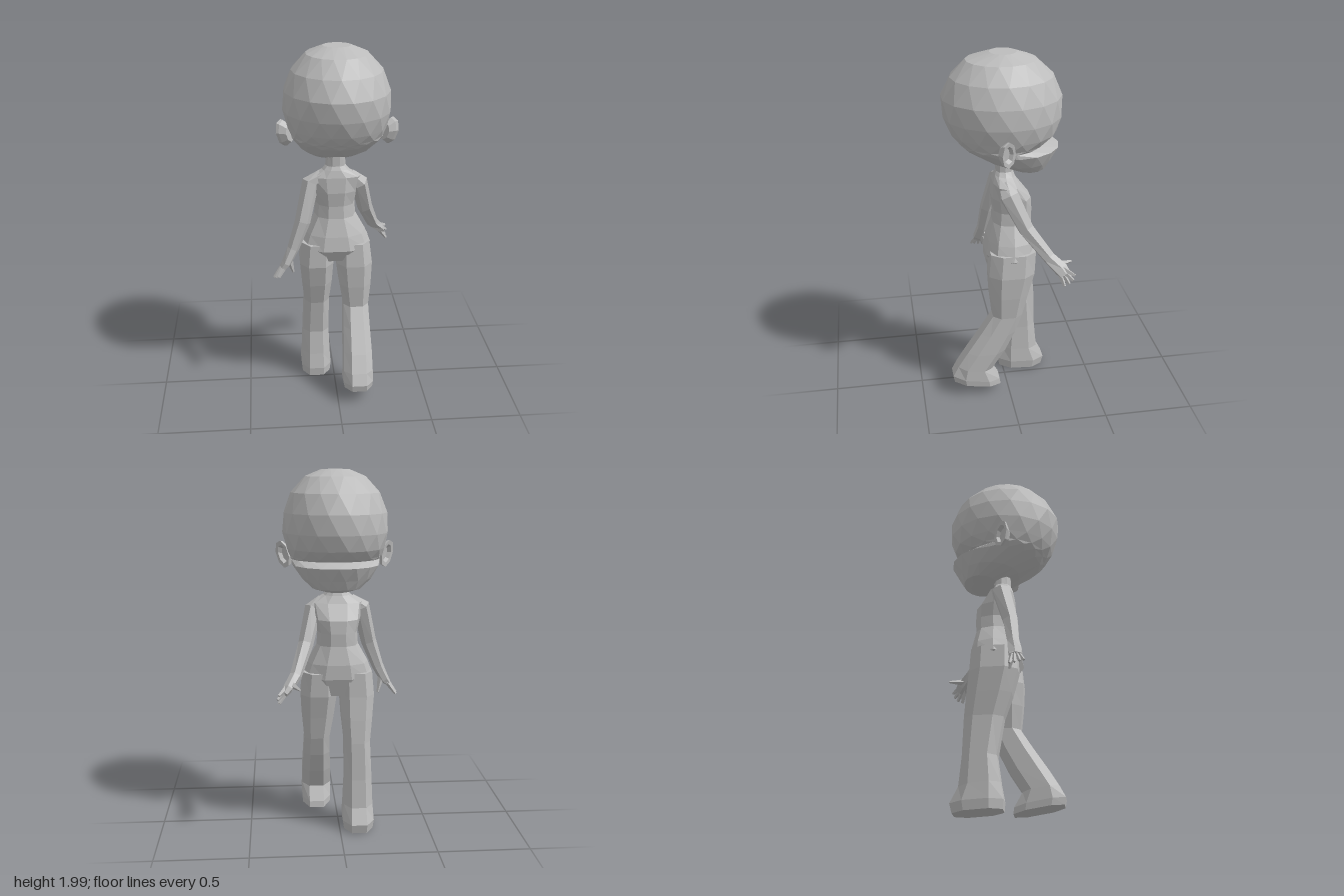
import * as THREE from 'three';

const clay = new THREE.MeshStandardMaterial({ color: 0xbcbcbc });
clay.name = 'clay grey';
const V = (x, y, z) => new THREE.Vector3(x, y, z);

// Closed, faceted skin over a list of equal-length point rings, wound outwards.
function loft(name, rings) {
  const tris = [];
  const n = rings[0].length;
  for (let r = 0; r < rings.length - 1; r++) {
    const a = rings[r], b = rings[r + 1];
    for (let i = 0; i < n; i++) {
      const j = (i + 1) % n;
      tris.push([a[i], a[j], b[i]], [a[j], b[j], b[i]]);
    }
  }
  const middle = ring => ring.reduce((s, p) => s.add(p), V(0, 0, 0)).divideScalar(n);
  const first = rings[0], last = rings[rings.length - 1];
  const c0 = middle(first), c1 = middle(last);
  for (let i = 0; i < n; i++) {
    const j = (i + 1) % n;
    tris.push([first[j], first[i], c0], [last[i], last[j], c1]);
  }
  let volume = 0;
  for (const [a, b, c] of tris) {
    volume += a.clone().sub(c0).dot(b.clone().sub(c0).cross(c.clone().sub(c0)));
  }
  const points = [];
  for (const [a, b, c] of tris) points.push(...(volume > 0 ? [a, b, c] : [a, c, b]));
  const geometry = new THREE.BufferGeometry().setFromPoints(points);
  geometry.computeVertexNormals();
  const mesh = new THREE.Mesh(geometry, clay);
  mesh.name = name;
  return mesh;
}

// Cross-section of the body: y at -z end, y at +z end, centre x, half width, z range.
function section([yf, yb, cx, hw, zf, zb], sides, power = 1, turn = 0) {
  const ring = [];
  const bulge = v => Math.sign(v) * Math.abs(v) ** power;
  for (let i = 0; i < sides; i++) {
    const t = ((i + turn) / sides) * Math.PI * 2;
    const s = bulge(Math.sin(t));
    const k = (s + 1) / 2;
    ring.push(V(cx + hw * bulge(Math.cos(t)), yf + (yb - yf) * k, zf + (zb - zf) * k));
  }
  return ring;
}

// Tapered limb along a path of [x, y, z, radius a, radius b].
function limb(name, path, sides) {
  const pts = path.map(p => V(p[0], p[1], p[2]));
  const rings = path.map((p, k) => {
    const d = pts[Math.min(k + 1, pts.length - 1)].clone().sub(pts[Math.max(k - 1, 0)]).normalize();
    const u = V(0, 0, 1).cross(d).normalize();
    const v = d.clone().cross(u);
    return Array.from({ length: sides }, (_, i) => {
      const t = (i / sides) * Math.PI * 2;
      return pts[k].clone().addScaledVector(u, p[3] * Math.cos(t)).addScaledVector(v, p[4] * Math.sin(t));
    });
  });
  return loft(name, rings);
}

// Arm with thumb and fingers.
function arm(name, path, palm, thumb, tips) {
  const g = new THREE.Group();
  g.name = name;
  g.add(limb('armAndPalm', path, 6));
  g.add(limb('thumb', [[...palm, 0.022, 0.022], [...thumb, 0.006, 0.006]], 4));
  const wrist = V(...palm);
  for (const tip of tips) {
    const base = wrist.clone().lerp(V(...tip), 0.3);
    g.add(limb('finger', [[base.x, base.y, base.z, 0.017, 0.017], [...tip, 0.008, 0.008]], 4));
  }
  return g;
}

// Cupped ear on side s, opening outwards and towards the face.
function ear(name, s) {
  const ring = (depth, size) => Array.from({ length: 8 }, (_, i) => {
    const t = (i / 8) * Math.PI * 2;
    const c = Math.cos(t) * size, h = Math.sin(t) * size;
    return V(
      0.012 + s * (0.286 + 0.036 * c + 0.01 * h + 0.8 * depth),
      1.537 + 0.074 * h + 0.008 * c,
      0.026 + 0.04 * c - 0.6 * depth
    );
  });
  return loft(name, [ring(-0.045, 0.6), ring(-0.012, 0.95), ring(0.004, 1), ring(0.002, 0.68), ring(-0.018, 0.5)]);
}

export function createModel() {
  const model = new THREE.Group();
  model.name = 'figure';

  // Round head with a ledge above the jaw on the -z side: y, z range, half width
  const head = [
    [1.992, -0.06, 0.08, 0.075], [1.955, -0.165, 0.205, 0.165], [1.87, -0.255, 0.287, 0.242],
    [1.765, -0.3, 0.336, 0.282], [1.66, -0.302, 0.326, 0.288], [1.575, -0.275, 0.293, 0.268],
    [1.53, -0.226, 0.26, 0.25], [1.515, -0.2, 0.243, 0.245], [1.49, -0.29, 0.22, 0.238],
    [1.42, -0.25, 0.1, 0.188], [1.37, -0.222, -0.02, 0.13], [1.352, -0.18, -0.09, 0.06],
  ];
  model.add(loft('head', head.map(([y, zf, zb, hw], k) =>
    section([y, y, 0.012, hw, zf, zb], 16, 1, k / 2))));
  model.add(ear('leftEar', 1), ear('rightEar', -1));

  // Neck, chest, waist and hips
  const torso = [
    [1.43, 1.43, 0.008, 0.05, -0.05, 0.05], [1.345, 1.345, 0.005, 0.055, -0.045, 0.05],
    [1.315, 1.325, 0.005, 0.075, -0.055, 0.06], [1.275, 1.285, 0.005, 0.145, -0.075, 0.072],
    [1.19, 1.2, 0.005, 0.128, -0.142, 0.08], [1.12, 1.12, 0.005, 0.11, -0.148, 0.07],
    [1.05, 1.05, 0.005, 0.115, -0.145, 0.075], [0.95, 0.95, 0.005, 0.17, -0.166, 0.105],
    [0.87, 0.87, 0.006, 0.2, -0.166, 0.12], [0.77, 0.8, 0.005, 0.13, -0.13, 0.085],
  ];
  model.add(loft('torso', torso.map(r => section(r, 10, 0.85))));

  // Leg swung to the back, heel raised
  const leftLeg = [
    [0.9, 0.9, 0.105, 0.095, -0.16, 0.105], [0.77, 0.77, 0.11, 0.106, -0.152, 0.118],
    [0.64, 0.64, 0.115, 0.094, -0.115, 0.11], [0.51, 0.51, 0.12, 0.076, -0.082, 0.095],
    [0.4, 0.4, 0.12, 0.08, -0.043, 0.165], [0.28, 0.28, 0.12, 0.085, 0.016, 0.245],
    [0.16, 0.19, 0.118, 0.087, 0.092, 0.3], [0.08, 0.13, 0.118, 0.088, 0.045, 0.334],
    [0.045, 0.09, 0.118, 0.084, 0.04, 0.326],
  ];
  // Standing leg
  const rightLeg = [
    [0.9, 0.9, -0.095, 0.095, -0.16, 0.105], [0.77, 0.77, -0.102, 0.1, -0.168, 0.11],
    [0.64, 0.64, -0.1, 0.09, -0.182, 0.075], [0.51, 0.51, -0.1, 0.076, -0.192, 0.03],
    [0.3, 0.3, -0.105, 0.08, -0.197, -0.005], [0.14, 0.16, -0.105, 0.086, -0.213, 0.015],
    [0.055, 0.07, -0.105, 0.092, -0.258, 0.033], [0.005, 0.02, -0.105, 0.086, -0.245, 0.028],
  ];
  model.add(loft('leftLeg', leftLeg.map(r => section(r, 8, 0.78, 0.5))));
  model.add(loft('rightLeg', rightLeg.map(r => section(r, 8, 0.78, 0.5))));

  // Arms: one reaching to -z, the other trailing to +z
  model.add(arm('leftArm', [
    [0.08, 1.285, 0.005, 0.035, 0.045], [0.135, 1.24, -0.005, 0.048, 0.055],
    [0.18, 1.06, -0.09, 0.042, 0.045], [0.24, 0.91, -0.205, 0.033, 0.036],
    [0.285, 0.855, -0.265, 0.027, 0.042], [0.305, 0.83, -0.285, 0.02, 0.034],
  ], [0.268, 0.875, -0.245], [0.22, 0.865, -0.335], [
    [0.333, 0.775, -0.275], [0.33, 0.785, -0.302], [0.338, 0.81, -0.322], [0.332, 0.835, -0.332],
  ]));
  model.add(arm('rightArm', [
    [-0.07, 1.285, 0.01, 0.035, 0.045], [-0.13, 1.25, 0.012, 0.048, 0.055],
    [-0.18, 1.04, 0.068, 0.043, 0.045], [-0.235, 0.89, 0.088, 0.033, 0.036],
    [-0.275, 0.81, 0.102, 0.027, 0.042], [-0.295, 0.785, 0.106, 0.02, 0.034],
  ], [-0.26, 0.835, 0.096], [-0.235, 0.735, 0.066], [
    [-0.34, 0.722, 0.078], [-0.343, 0.725, 0.104], [-0.333, 0.735, 0.13], [-0.318, 0.745, 0.15],
  ]));

  return model;
}
